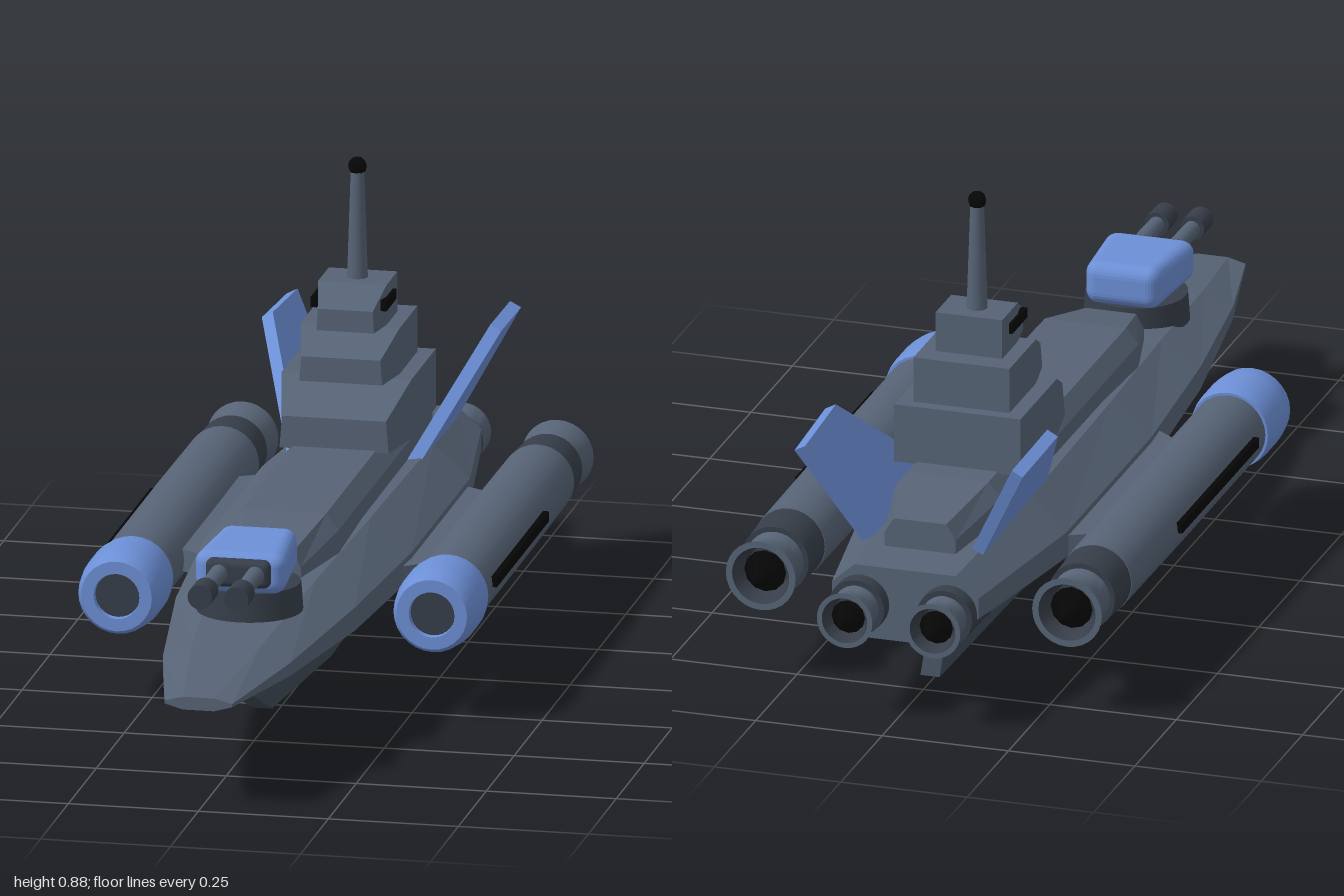
import * as THREE from 'three';
import { toCreasedNormals } from 'three/addons/utils/BufferGeometryUtils.js';
import { RoundedBoxGeometry } from 'three/addons/geometries/RoundedBoxGeometry.js';

const paint = (color, flat = false) => new THREE.MeshStandardMaterial({ color, flatShading: flat, side: THREE.DoubleSide });
const steel = paint(0x566375), steelFlat = paint(0x566375, true);
const blue = paint(0x6c8fd6), dark = paint(0x373e49), keelGrey = paint(0x3f4957, true), black = paint(0x060606);

function add(parent, name, geometry, material, x = 0, y = 0, z = 0) {
  const mesh = new THREE.Mesh(geometry, material);
  mesh.name = name;
  mesh.position.set(x, y, z);
  parent.add(mesh);
  return mesh;
}

// Skin over cross-sections running from front to back; each is { z, pts } with
// pts the right half [x, y] from bottom to top, mirrored to close the ring.
function loft(sections) {
  const rings = sections.map(({ z, pts }) => [
    ...pts.map(([x, y]) => [x, y, z]),
    ...[...pts].reverse().map(([x, y]) => [-x, y, z]),
  ]);
  const out = [], n = rings[0].length, last = rings[rings.length - 1];
  for (let i = 0; i < rings.length - 1; i++) {
    for (let j = 0; j < n; j++) {
      const k = (j + 1) % n, a = rings[i], b = rings[i + 1];
      out.push(...a[j], ...b[j], ...b[k], ...a[j], ...b[k], ...a[k]);
    }
  }
  for (let j = 1; j < n - 1; j++) {
    out.push(...rings[0][0], ...rings[0][j], ...rings[0][j + 1]);
    out.push(...last[0], ...last[j + 1], ...last[j]);
  }
  const g = new THREE.BufferGeometry();
  g.setAttribute('position', new THREE.Float32BufferAttribute(out, 3));
  g.computeVertexNormals();
  return g;
}

// Turned shape along z from [radius, z] points, listed back to front
function turned(points, segments = 28) {
  const g = new THREE.LatheGeometry(points.map(([r, z]) => new THREE.Vector2(r, z)), segments);
  return toCreasedNormals(g.rotateX(Math.PI / 2), 0.5);
}

// Flat outline of [z, y] points, given thickness across x
function plate(points, thickness) {
  const shape = new THREE.Shape(points.map(([z, y]) => new THREE.Vector2(-z, y)));
  const g = new THREE.ExtrudeGeometry(shape, { depth: thickness, bevelEnabled: false });
  return g.translate(0, 0, -thickness / 2).rotateY(Math.PI / 2);
}

// Bell nozzle with a black plume cone, z measured from the bell's front
function nozzle(parent, name, x, y, z, r, length, tip) {
  const g = new THREE.Group();
  g.name = name;
  g.position.set(x, y, z);
  parent.add(g);
  add(g, 'bell', turned([[r * 0.82, -length], [r, -length], [r * 0.9, -length * 0.75],
    [r * 0.76, -length * 0.4], [r * 0.74, -length * 0.2], [r * 0.84, 0]]), steel);
  add(g, 'bellLining', turned([[r * 0.82, -length], [r * 0.6, -length * 0.4], [0, -length * 0.4]]), dark);
  const cone = new THREE.ConeGeometry(r * 0.6, tip + length * 0.3, 12).rotateX(-Math.PI / 2);
  add(g, 'exhaustCone', cone, black, 0, 0, -length * 0.85 - tip / 2);
}

function sidePod(parent, s) {
  const g = new THREE.Group();
  g.name = s > 0 ? 'leftPod' : 'rightPod';
  g.position.set(s * 0.303, 0.217, 0);
  parent.add(g);
  add(g, 'podBody', turned([[0, -0.63], [0.07, -0.63], [0.072, -0.3], [0.072, 0.19], [0, 0.19]]), steel);
  add(g, 'podBand', turned([[0, -0.72], [0.066, -0.72], [0.069, -0.625]]), dark);
  add(g, 'intakeCowl', turned([[0.07, 0.172], [0.077, 0.172], [0.081, 0.2], [0.081, 0.27],
    [0.076, 0.31], [0.068, 0.322], [0.044, 0.322], [0.042, 0.3]]), blue);
  add(g, 'intake', new THREE.CircleGeometry(0.044, 28), dark, 0, 0, 0.31);
  add(g, 'podStripe', new THREE.BoxGeometry(0.014, 0.02, 0.465), black, s * 0.073, 0.01, -0.123);
  nozzle(g, 'podNozzle', 0, 0, -0.715, 0.069, 0.093, 0.045);
  // Pylon joining the pod to the hull, longer at the hull
  const shape = new THREE.Shape([[0.17, 0.1], [0.26, 0.03], [0.26, -0.45], [0.17, -0.5]].map(([x, z]) => new THREE.Vector2(s * x, -z)));
  const pylon = new THREE.ExtrudeGeometry(shape, { depth: 0.043, bevelEnabled: false });
  add(parent, 'pylon', pylon.rotateX(-Math.PI / 2), steelFlat, 0, 0.196, 0);
}

// Box-like bridge storey whose nose is lower and narrower than its body
function tier(parent, name, w, y0, y1, front, shoulder, back) {
  const mid = y0 + (y1 - y0) * 0.54;
  add(parent, name, loft([
    { z: front, pts: [[w * 0.84, y0], [w * 0.8, mid]] },
    { z: shoulder, pts: [[w, y0], [w, y1]] },
    { z: back, pts: [[w, y0], [w, y1]] },
  ]), steelFlat);
}

function turret(parent) {
  const g = new THREE.Group();
  g.name = 'gunTurret';
  g.position.set(0, 0, 0.54);
  parent.add(g);
  add(g, 'turretRing', new THREE.CylinderGeometry(0.097, 0.101, 0.055, 28), dark, 0, 0.3, 0);
  // Rounded housing, tapered to the rear and lower at the front
  const head = new RoundedBoxGeometry(0.174, 0.084, 0.2, 4, 0.026);
  const p = head.attributes.position;
  for (let i = 0; i < p.count; i++) {
    const t = p.getZ(i) / 0.2 + 0.5;
    p.setX(i, p.getX(i) * (0.82 + 0.18 * Math.min(1, t * 1.6)));
    if (p.getY(i) > 0) p.setY(i, p.getY(i) * (1 - 0.12 * t));
  }
  head.computeVertexNormals();
  add(g, 'turretHousing', head, blue, 0, 0.368, 0);
  add(g, 'gunMantlet', new RoundedBoxGeometry(0.125, 0.054, 0.05, 3, 0.014), dark, 0, 0.369, 0.09);
  for (const x of [-0.035, 0.035]) {
    add(g, 'gunBarrel', new THREE.CylinderGeometry(0.015, 0.018, 0.18, 16).rotateX(Math.PI / 2), steel, x, 0.37, 0.17);
    add(g, 'gunMuzzle', new THREE.CylinderGeometry(0.024, 0.024, 0.055, 16).rotateX(Math.PI / 2), dark, x, 0.37, 0.256);
  }
}

export function createModel() {
  const ship = new THREE.Group();
  ship.name = 'ship';

  // Hull: z, bottom half-width and y, side half-width with lower and upper y, top half-width and y
  const hull = [
    [1, 0.03, 0.2, 0.065, 0.21, 0.216, 0.03, 0.225],
    [0.75, 0.05, 0.165, 0.122, 0.205, 0.23, 0.065, 0.258],
    [0.4, 0.075, 0.125, 0.172, 0.2, 0.245, 0.095, 0.292],
    [0.02, 0.09, 0.11, 0.2, 0.2, 0.25, 0.12, 0.312],
    [-0.5, 0.09, 0.11, 0.2, 0.2, 0.25, 0.13, 0.314],
    [-0.86, 0.075, 0.14, 0.145, 0.205, 0.245, 0.1, 0.285],
  ];
  add(ship, 'hull', loft(hull.map(([z, wb, yb, ws, y1, y2, wt, yt]) => (
    { z, pts: [[wb, yb], [ws, y1], [ws, y2], [wt, yt]] }))), steelFlat);

  // Raised deck along the spine
  add(ship, 'upperDeck', loft([
    [0.385, 0.065, 0.05, 0.343], [0.23, 0.105, 0.08, 0.376],
    [-0.6, 0.105, 0.08, 0.376], [-0.77, 0.07, 0.052, 0.35],
  ].map(([z, wb, wt, y]) => ({ z, pts: [[wb, 0.28], [wb, y - 0.03], [wt, y]] }))), steelFlat);

  add(ship, 'keel', plate([[0.65, 0.14], [0.43, 0.047], [-0.1, 0.003], [-0.71, 0.015], [-0.645, 0.13]], 0.038), keelGrey);

  // Bridge tower, windows and mast
  tier(ship, 'lowerBridge', 0.125, 0.372, 0.487, -0.215, -0.325, -0.545);
  tier(ship, 'middleBridge', 0.095, 0.487, 0.576, -0.275, -0.36, -0.52);
  tier(ship, 'upperBridge', 0.066, 0.576, 0.654, -0.315, -0.38, -0.475);
  for (const s of [-1, 1]) add(ship, 'bridgeWindow', new THREE.BoxGeometry(0.012, 0.02, 0.09), black, s * 0.067, 0.622, -0.39);
  add(ship, 'mast', new THREE.CylinderGeometry(0.013, 0.02, 0.21, 16), steel, 0, 0.757, -0.425);
  add(ship, 'mastLight', new THREE.SphereGeometry(0.018, 8, 6), black, 0, 0.87, -0.425);

  turret(ship);

  for (const s of [-1, 1]) {
    sidePod(ship, s);
    // Tail fin leaning outward; outline heights run along the slanted fin
    const fin = add(ship, s > 0 ? 'leftFin' : 'rightFin',
      plate([[-0.37, -0.02], [-0.64, 0.218], [-0.84, 0.208], [-0.755, -0.02]], 0.024), blue, s * 0.118, 0.314, 0);
    fin.rotation.z = -s * 0.485;
    // Stern engine
    add(ship, 'sternEngine', turned([[0, -0.89], [0.055, -0.89], [0.058, -0.7], [0, -0.7]]), dark, s * 0.087, 0.21, 0);
    nozzle(ship, 'sternNozzle', s * 0.087, 0.21, -0.885, 0.055, 0.076, 0.039);
  }
  return ship;
}
